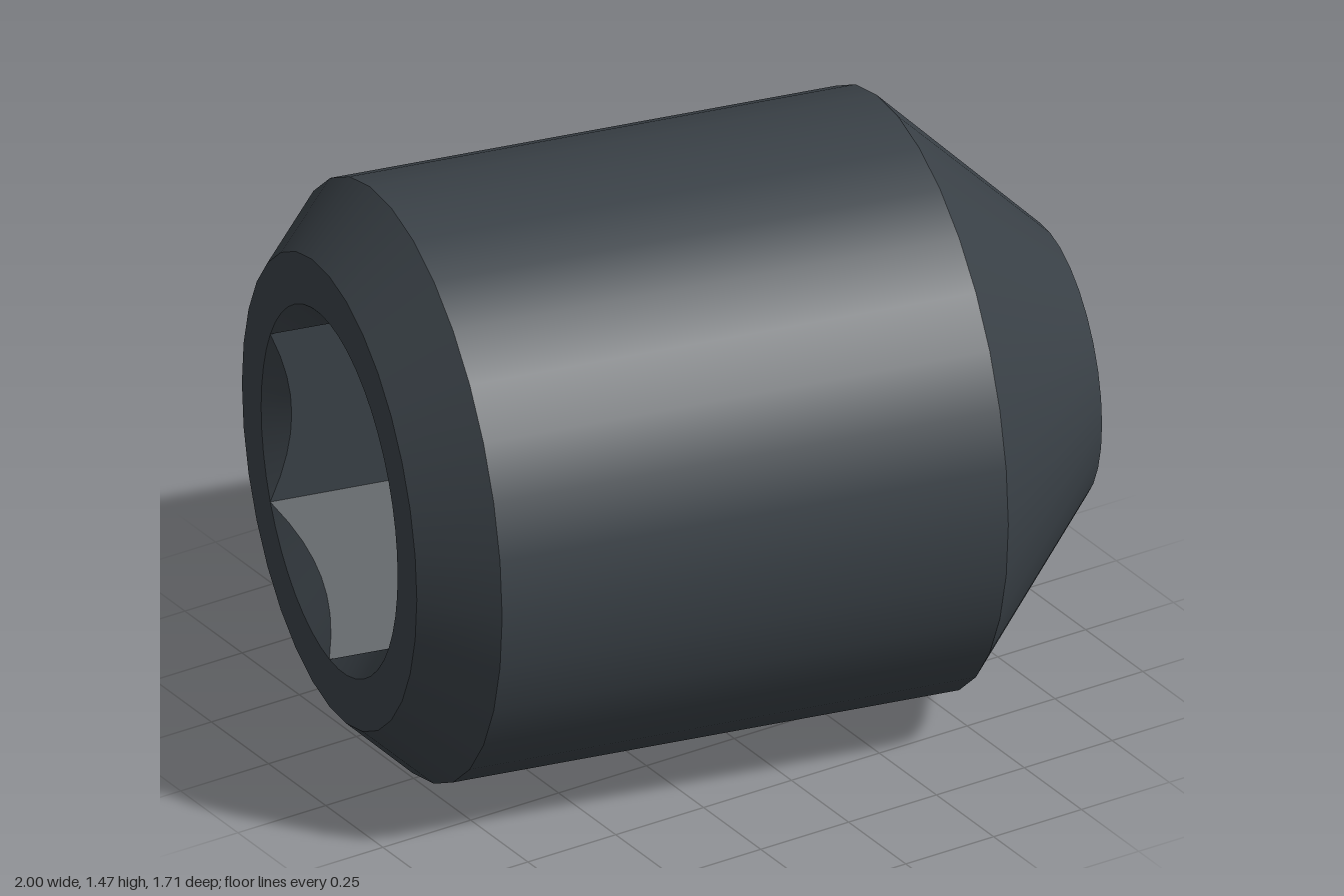
import * as THREE from 'three';
import { toCreasedNormals } from 'three/addons/utils/BufferGeometryUtils.js';

const SIDES = 32, HEX_STEPS = 48;
const BACK = -0.897, TIP = 0.945;      // end positions along the screw axis (local y)
const SOCKET_R = 0.455, SOCKET_DEPTH = 0.53;

// One smooth band of the turned body between two [radius, axis] points
function band(name, from, to, material) {
  const points = [new THREE.Vector2(...from), new THREE.Vector2(...to)];
  const mesh = new THREE.Mesh(new THREE.LatheGeometry(points, SIDES), material);
  mesh.name = name;
  return mesh;
}

function circle(radius, count) {
  return Array.from({ length: count }, (_, i) => {
    const a = (i / count) * Math.PI * 2;
    return new THREE.Vector2(radius * Math.cos(a), radius * Math.sin(a));
  });
}

// Hex recess: countersunk round rim, six flat walls and a flat floor
function socketGeometry() {
  const apothem = SOCKET_R * Math.cos(Math.PI / 6);
  const hexRadius = (a) => {
    const sector = Math.PI / 3;
    return apothem / Math.cos((a % sector) - sector / 2);
  };
  const rings = [
    () => [SOCKET_R, 0],
    (a) => [hexRadius(a), (SOCKET_R - hexRadius(a)) * 0.9],
    (a) => [hexRadius(a), SOCKET_DEPTH],
    () => [0, SOCKET_DEPTH],
  ];
  const positions = [], indices = [];
  for (const ring of rings) {
    for (let i = 0; i < HEX_STEPS; i++) {
      const a = (i / HEX_STEPS) * Math.PI * 2;
      const [r, depth] = ring(a);
      positions.push(r * Math.cos(a), BACK + depth, r * Math.sin(a));
    }
  }
  for (let k = 0; k < rings.length - 1; k++) {
    for (let i = 0; i < HEX_STEPS; i++) {
      const a = k * HEX_STEPS + i, b = k * HEX_STEPS + ((i + 1) % HEX_STEPS);
      const c = b + HEX_STEPS, d = a + HEX_STEPS;
      indices.push(a, b, d);
      if (k < rings.length - 2) indices.push(b, c, d);
    }
  }
  const geometry = new THREE.BufferGeometry();
  geometry.setAttribute('position', new THREE.Float32BufferAttribute(positions, 3));
  geometry.setIndex(indices);
  return toCreasedNormals(geometry, Math.PI / 8);
}

export function createModel() {
  const steel = new THREE.MeshStandardMaterial({ color: 0x3a4147 });
  steel.name = 'darkSteel';

  const screw = new THREE.Group();
  screw.name = 'setScrew';

  // Turned outside, from the socket end to the hollow point
  screw.add(
    band('backChamfer', [0.583, BACK], [0.737, -0.738], steel),
    band('shank', [0.737, -0.738], [0.737, 0.555], steel),
    band('pointTaper', [0.737, 0.555], [0.344, TIP], steel),
    band('cupHollow', [0.344, TIP], [0, TIP - 0.187], steel),
  );

  // Flat ring around the socket
  const face = new THREE.Shape(circle(0.583, SIDES));
  face.holes.push(new THREE.Path(circle(SOCKET_R, HEX_STEPS)));
  const faceGeometry = new THREE.ShapeGeometry(face);
  faceGeometry.rotateX(Math.PI / 2).translate(0, BACK, 0);
  const backFace = new THREE.Mesh(faceGeometry, steel);
  backFace.name = 'backFace';

  const socket = new THREE.Mesh(socketGeometry(), steel);
  socket.name = 'hexSocket';
  screw.add(backFace, socket);

  // Lay the axis down along x, turned slightly towards the front
  screw.rotation.set(0, -0.211, -Math.PI / 2);
  screw.position.set(0, 0.737, 0.015);

  const model = new THREE.Group();
  model.name = 'model';
  model.add(screw);
  return model;
}
